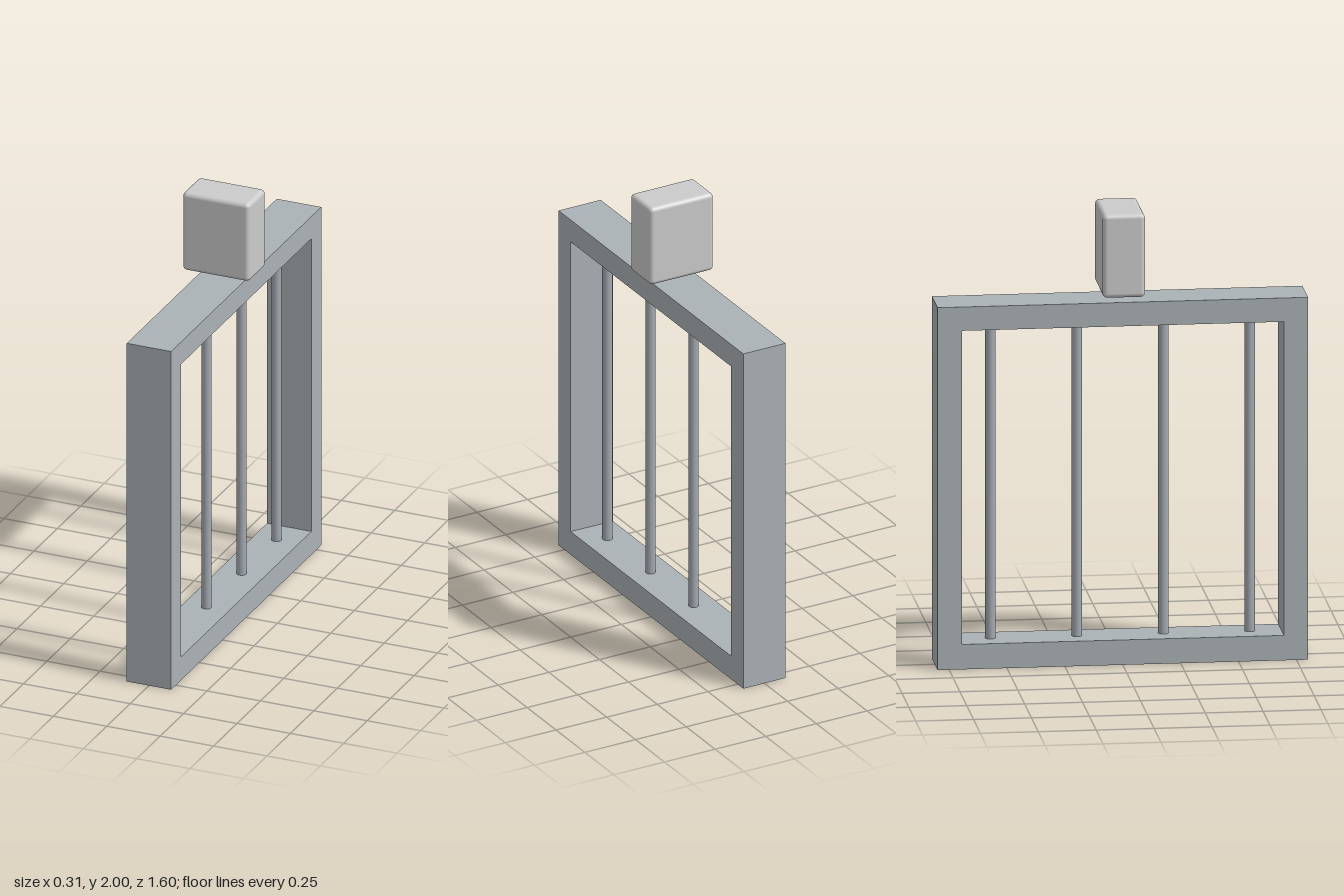
import * as THREE from 'three';
import { RoundedBoxGeometry } from 'three/addons/geometries/RoundedBoxGeometry.js';

export function createModel() {
  const group = new THREE.Group();
  const frameMaterial = new THREE.MeshStandardMaterial({ color: 0xabb2b6 });
  const barMaterial = new THREE.MeshStandardMaterial({ color: 0xa4aab2 });
  const blockMaterial = new THREE.MeshStandardMaterial({ color: 0xcccccc });

  const add = (name, geometry, material, x, y, z) => {
    const mesh = new THREE.Mesh(geometry, material);
    mesh.name = name;
    mesh.position.set(x, y, z);
    group.add(mesh);
    return mesh;
  };

  // Rectangular frame with one open window, standing in the YZ plane
  const half = 0.8, inner = 0.695, depth = 0.208;
  const outline = new THREE.Shape([
    new THREE.Vector2(-half, 0), new THREE.Vector2(half, 0),
    new THREE.Vector2(half, 1.6), new THREE.Vector2(-half, 1.6),
  ]);
  outline.holes.push(new THREE.Path([
    new THREE.Vector2(-inner, 0.11), new THREE.Vector2(-inner, 1.495),
    new THREE.Vector2(inner, 1.495), new THREE.Vector2(inner, 0.11),
  ]));
  const frameGeometry = new THREE.ExtrudeGeometry(outline, { depth, bevelEnabled: false });
  frameGeometry.translate(0, 0, -depth / 2).rotateY(Math.PI / 2);
  add('frame', frameGeometry, frameMaterial, 0, 0, 0);

  // Four evenly spaced round bars, ends just inside the rails
  const barGeometry = new THREE.CylinderGeometry(0.022, 0.022, 1.4, 24);
  for (let i = 0; i < 4; i++) {
    add(`bar${i + 1}`, barGeometry, barMaterial, 0, 0.8025, 0.56 - i * 0.3733);
  }

  // Rounded block hovering just above the top rail
  add('topBlock', new RoundedBoxGeometry(0.315, 0.368, 0.182, 4, 0.02), blockMaterial, 0, 1.816, 0);

  return group;
}
